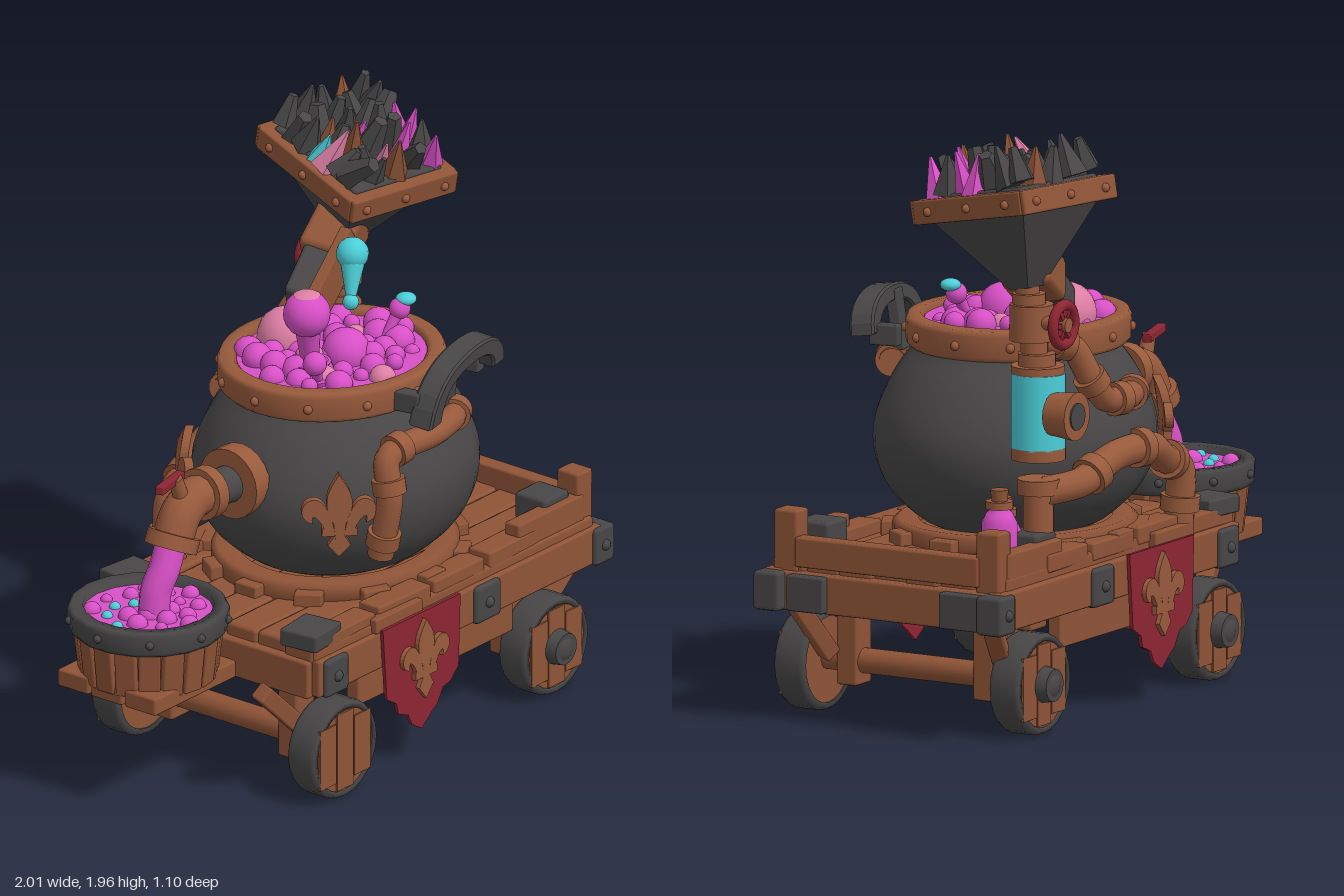
import * as THREE from 'three';
import { RoundedBoxGeometry } from 'three/addons/geometries/RoundedBoxGeometry.js';

const mat = (name, color) => {
  const m = new THREE.MeshStandardMaterial({ color });
  m.name = name;
  return m;
};
const V = (x, y, z) => new THREE.Vector3(x, y, z);

export function createModel() {
  const wood = mat('wood', 0x8f5437), copper = mat('copper', 0x985a3c), iron = mat('iron', 0x484646);
  const pink = mat('pink potion', 0xd850c6), blush = mat('blush bubble', 0xdf7fa6);
  const cyan = mat('cyan potion', 0x4cced8), red = mat('red cloth', 0x8c2532);
  const model = new THREE.Group();
  let seed = 7;
  const rnd = (a, b) => {
    seed = (seed * 16807) % 2147483647;
    return a + (b - a) * (seed / 2147483647);
  };

  // Helpers
  const add = (name, geo, m, p = [0, 0, 0], r = [0, 0, 0], parent = model) => {
    const mesh = new THREE.Mesh(geo, m);
    mesh.name = name;
    mesh.position.set(...p);
    mesh.rotation.set(...r);
    parent.add(mesh);
    return mesh;
  };
  const box = (name, m, s, p, r, parent) =>
    add(name, new RoundedBoxGeometry(...s, 1, Math.min(...s) * 0.14), m, p, r, parent);
  const cyl = (name, m, r1, r2, h, p, r, parent, n = 20) =>
    add(name, new THREE.CylinderGeometry(r1, r2, h, n), m, p, r, parent);
  const ball = (name, m, r, p, parent) => add(name, new THREE.SphereGeometry(r, 16, 12), m, p, undefined, parent);
  const lathe = (name, m, pts, p, parent, n = 40) =>
    add(name, new THREE.LatheGeometry(pts.map(a => new THREE.Vector2(...a)), n), m, p, undefined, parent);
  const beam = (name, m, a, b, w, h = w, round = false) => {
    const A = V(...a), B = V(...b), len = A.distanceTo(B);
    const mesh = round ? cyl(name, m, w, h, len, [0, 0, 0]) : box(name, m, [w, len, h], [0, 0, 0]);
    mesh.position.copy(A).add(B).multiplyScalar(0.5);
    mesh.quaternion.setFromUnitVectors(V(0, 1, 0), B.sub(A).normalize());
    return mesh;
  };
  // Bent pipe with collars at the given fractions of its length
  const pipe = (name, m, pts, r, collars = []) => {
    const curve = new THREE.CatmullRomCurve3(pts.map(p => V(...p)), false, 'catmullrom', 0.4);
    add(name, new THREE.TubeGeometry(curve, 40, r, 12), m);
    for (const t of collars) {
      const c = curve.getPointAt(t), d = curve.getTangentAt(t).multiplyScalar(0.025);
      beam(name + 'Collar', m, c.clone().sub(d).toArray(), c.clone().add(d).toArray(), r * 1.3, r * 1.3, true);
    }
  };
  // Three-petalled ornament, optionally bent around a curved surface
  const ornament = (p, ry, size, radius = 1e6) => {
    const g = new THREE.Group();
    g.name = 'petalOrnament';
    const petal = new THREE.Shape();
    petal.moveTo(0, 0.5);
    petal.bezierCurveTo(0.08, 0.36, 0.24, 0.26, 0.07, -0.06);
    petal.lineTo(0.05, -0.2);
    petal.lineTo(0.13, -0.34);
    petal.lineTo(0, -0.5);
    petal.lineTo(-0.13, -0.34);
    petal.lineTo(-0.05, -0.2);
    petal.lineTo(-0.07, -0.06);
    petal.bezierCurveTo(-0.24, 0.26, -0.08, 0.36, 0, 0.5);
    const shapes = [petal];
    for (const s of [-1, 1]) {
      const side = new THREE.Shape();
      side.moveTo(s * 0.06, -0.14);
      side.bezierCurveTo(s * 0.1, 0.1, s * 0.2, 0.3, s * 0.36, 0.2);
      side.bezierCurveTo(s * 0.48, 0.1, s * 0.42, -0.05, s * 0.3, -0.06);
      side.bezierCurveTo(s * 0.34, 0.08, s * 0.24, 0.06, s * 0.14, -0.2);
      shapes.push(side);
    }
    shapes.push(new THREE.Shape([[-0.2, -0.22], [0.2, -0.22], [0.2, -0.12], [-0.2, -0.12]].map(q => new THREE.Vector2(...q))));
    const geo = new THREE.ExtrudeGeometry(shapes, { depth: 0.1, bevelEnabled: false, curveSegments: 8 });
    geo.scale(size, size, size);
    const a = geo.attributes.position;
    for (let i = 0; i < a.count; i++) a.setZ(i, a.getZ(i) - (a.getX(i) ** 2 + 1.4 * a.getY(i) ** 2) / (2 * radius));
    add('petals', geo, copper, undefined, undefined, g);
    g.position.set(...p);
    g.rotation.y = ry;
    model.add(g);
  };

  // Cart bed: deck planks, side beams, skirts and end beams
  for (let i = 0; i < 7; i++) box('deckPlank', wood, [1.42 + rnd(-0.04, 0.03), 0.1, 0.125], [0.21, 0.49 + rnd(0, 0.015), -0.36 + i * 0.126]);
  for (const [z, s] of [[0.44, 1], [-0.41, -1]]) {
    box('sideBeam', wood, [1.46, 0.13, 0.07], [0.22, 0.445, z]);
    box('lowerSkirt', wood, [0.8, 0.12, 0.05], [0.14, 0.32, z - s * 0.03]);
    for (const [x, w] of [[-0.43, 0.12], [0.35, 0.13], [0.95, 0.1]]) {
      box('ironBracket', iron, [w, 0.13, 0.1], [x, 0.44, z]);
      ball('bracketRivet', iron, 0.02, [x, 0.44, z + s * 0.045]);
    }
    for (let i = 0; i < 4; i++) box('edgeBoard', wood, [0.26, 0.06, 0.09], [-0.32 + i * 0.28, 0.545 + rnd(-0.01, 0.015), z - s * 0.03], [0, rnd(-0.04, 0.04), 0]);
    box('rearPost', wood, [0.08, 0.33, 0.09], [0.9, 0.54, z - s * 0.04]);
    box('rearSideRail', wood, [0.34, 0.1, 0.06], [0.72, 0.58, z - s * 0.02]);
    box('rearIronCap', iron, [0.13, 0.1, 0.13], [s > 0 ? 0.78 : 0.61, 0.605, z - s * 0.08]);
    box('frontIronCap', iron, [0.16, 0.06, 0.14], [-0.45, 0.57, z - s * 0.05], [0, s * 0.12, 0]);
    box('frontBlock', wood, [0.13, 0.1, 0.12], [-0.45, 0.51, z - s * 0.05]);
    beam('rearStrut', wood, [0.9, 0.4, z - s * 0.05], [0.74, 0.2, z - s * 0.09], 0.06);
    beam('frontStrut', wood, [-0.62, 0.4, z - s * 0.12], [-0.42, 0.2, z - s * 0.09], 0.06);
  }
  for (const x of [-0.5, 0.92]) box('endBeam', wood, [0.07, 0.13, 0.86], [x, 0.44, 0.015]);
  box('rearRail', wood, [0.06, 0.1, 0.7], [0.92, 0.57, 0.01]);
  box('rearIronPlate', iron, [0.06, 0.12, 0.14], [0.955, 0.44, 0.3]);
  box('rearIronPlate', iron, [0.06, 0.12, 0.18], [0.955, 0.44, -0.3]);

  // Wheels, axles and axle posts
  for (const x of [-0.4, 0.69]) {
    beam('axle', wood, [x, 0.18, -0.36], [x, 0.18, 0.4], 0.042, 0.042, true);
    for (const [z, s] of [[0.44, 1], [-0.38, -1]]) {
      const g = new THREE.Group();
      g.name = 'wheel';
      g.position.set(x, 0.17, z);
      g.rotation.y = s > 0 ? 0 : Math.PI;
      model.add(g);
      cyl('wheelDisc', wood, 0.146, 0.146, 0.1, [0, 0, 0], [Math.PI / 2, 0, 0], g, 24);
      const tyre = lathe('wheelTyre', iron, [[0.143, -0.055], [0.16, -0.055], [0.168, -0.04], [0.168, 0.04], [0.16, 0.055], [0.143, 0.055], [0.143, -0.055]], [0, 0, 0], g, 24);
      tyre.rotation.x = Math.PI / 2;
      for (let i = -1; i < 2; i++) box('wheelBoard', wood, [0.084, i ? 0.21 : 0.27, 0.01], [i * 0.088, 0, 0.051], undefined, g);
      if (x > 0 || s < 0) {
        cyl('wheelHub', iron, 0.054, 0.062, 0.05, [0, 0, 0.07], [Math.PI / 2, 0, 0], g);
        ball('hubCap', iron, 0.05, [0, 0, 0.075], g).scale.z = 0.6;
      }
      box('axlePost', wood, [0.1, 0.3, 0.08], [x, 0.25, z - s * 0.15]);
    }
  }

  // Cauldron, oval in plan
  const pot = new THREE.Group();
  pot.name = 'cauldron';
  pot.position.set(0.16, 0, 0);
  pot.scale.z = 0.9;
  model.add(pot);
  const profile = new THREE.SplineCurve([[0.001, 0.56], [0.25, 0.57], [0.39, 0.65], [0.47, 0.75], [0.5, 0.87], [0.478, 0.98], [0.42, 1.09], [0.36, 1.17], [0.34, 1.23]].map(p => new THREE.Vector2(...p)));
  lathe('cauldronBody', iron, profile.getPoints(28).map(p => [Math.max(p.x, 0), p.y]), [0, 0, 0], pot);
  lathe('baseRing', wood, [[0.34, 0.53], [0.43, 0.53], [0.43, 0.59], [0.41, 0.605], [0.34, 0.6]], [0, 0, 0], pot);
  lathe('rim', copper, [[0.33, 1.17], [0.38, 1.17], [0.395, 1.185], [0.397, 1.255], [0.388, 1.272], [0.345, 1.275], [0.33, 1.26], [0.33, 1.17]], [-0.02, 0, 0], pot);
  cyl('potionSurface', pink, 0.335, 0.335, 0.03, [-0.02, 1.24, 0], undefined, pot, 32);
  for (let i = 0; i < 12; i++) {
    const a = i * Math.PI / 6;
    ball('rimRivet', copper, 0.016, [-0.02 + 0.396 * Math.cos(a), 1.22, 0.396 * Math.sin(a)], pot);
    box('baseBlock', wood, [0.1, 0.05, 0.06], [0.44 * Math.cos(a), 0.565, 0.44 * Math.sin(a)], [0, Math.PI / 2 - a, 0], pot);
  }

  // Potion bubbles and splashes
  for (let i = 0; i < 44; i++) {
    const a = i * 2.4, d = 0.3 * Math.sqrt((i + 0.5) / 44);
    ball('bubble', i % 9 == 4 ? blush : pink, rnd(0.024, 0.054), [0.14 + d * Math.cos(a), 1.25 + rnd(0, 0.025), d * 0.9 * Math.sin(a)]);
  }
  ball('largeBubble', blush, 0.1, [0.12, 1.28, -0.17]);
  ball('largeBubble', pink, 0.08, [0.14, 1.28, 0.06]);
  const splash = (name, m, top, foot, r) => {
    ball(name + 'Head', m, r, top);
    beam(name + 'Neck', m, foot, top, r * 0.62, r * 0.38, true);
    beam(name + 'Foot', m, foot, [foot[0], foot[1] - 0.05, foot[2]], r * 0.4, r * 0.9, true);
  };
  splash('tallSplash', pink, [-0.05, 1.475, 0.05], [-0.01, 1.29, 0.03], 0.078);
  add('tallSplashSheen', new THREE.SphereGeometry(0.08, 16, 6, 0, Math.PI * 2, 0, 0.6), blush, [-0.05, 1.475, 0.05]);
  splash('smallSplash', pink, [-0.12, 1.345, 0.14], [-0.08, 1.27, 0.12], 0.04);
  splash('sideSplash', pink, [0.38, 1.36, 0.09], [0.33, 1.27, 0.07], 0.036);
  ball('cyanSplash', cyan, 0.035, [0.4, 1.39, 0.1]).scale.y = 0.6;
  ball('flyingDrop', cyan, 0.054, [0.21, 1.595, 0.03]);
  beam('dropTail', cyan, [0.165, 1.47, 0.06], [0.205, 1.58, 0.035], 0.043, 0.018, true);
  ball('dropTip', cyan, 0.027, [0.158, 1.45, 0.065]);

  // Arched cauldron handle with its strap
  const arch = new THREE.Shape();
  arch.moveTo(-0.24, 0);
  arch.bezierCurveTo(-0.22, 0.16, -0.08, 0.185, 0.03, 0.185);
  arch.bezierCurveTo(0.14, 0.185, 0.24, 0.15, 0.24, 0.06);
  arch.lineTo(0.18, 0.06);
  arch.bezierCurveTo(0.18, 0.11, 0.12, 0.14, 0.03, 0.14);
  arch.bezierCurveTo(-0.08, 0.14, -0.17, 0.12, -0.18, 0);
  add('handle', new THREE.ExtrudeGeometry(arch, { depth: 0.07, bevelSize: 0.006, bevelThickness: 0.008, bevelSegments: 1, curveSegments: 8 }), iron, [0.28, 1.16, 0.365], [0.12, 0.19, 0]);
  box('handleStrap', iron, [0.065, 0.2, 0.04], [0.28, 1.23, 0.375], [0.15, 0.19, 0]);
  for (const [x, z] of [[0.07, 0.375], [0.46, 0.31]]) box('handleMount', iron, [0.05, 0.07, 0.1], [x, 1.215, z], [0, 0.19, 0]);

  // Ornaments and hanging banners
  for (const s of [1, -1]) ornament([-0.22, 0.89, s * 0.322], -Math.PI / 2 + s * Math.PI / 4, 0.29, 0.48);
  for (const [z, ry] of [[0.478, 0], [-0.448, Math.PI]]) {
    const cloth = new THREE.Shape([[-0.2, 0.52], [-0.18, 0.27], [-0.13, 0.24], [-0.12, 0.2], [-0.07, 0.18], [-0.05, 0.14], [0, 0.11], [0.05, 0.15], [0.08, 0.17], [0.11, 0.22], [0.15, 0.23], [0.19, 0.27], [0.2, 0.52]].map(p => new THREE.Vector2(...p)));
    add('banner', new THREE.ExtrudeGeometry(cloth, { depth: 0.012, bevelEnabled: false }), red, [0, 0, z], [0, ry, 0]);
    ornament([0.005, 0.36, z], ry, 0.28);
    box('bannerRod', wood, [0.24, 0.05, 0.04], [-0.1, 0.535, z * 0.96]);
  }

  // Spout, tap and pouring stream
  beam('spoutFlange', copper, [-0.3, 0.96, -0.02], [-0.37, 0.96, -0.02], 0.12, 0.12, true);
  beam('spoutSleeve', iron, [-0.36, 0.96, -0.02], [-0.5, 0.97, -0.02], 0.062, 0.062, true);
  pipe('spout', copper, [[-0.48, 0.97, -0.02], [-0.56, 0.97, -0.02], [-0.62, 0.93, -0.02], [-0.665, 0.84, -0.02]], 0.068, [0.06, 0.93]);
  pipe('potionStream', pink, [[-0.66, 0.86, -0.02], [-0.7, 0.77, -0.02], [-0.73, 0.7, -0.03], [-0.745, 0.59, -0.03]], 0.052);
  beam('tapStem', copper, [-0.6, 0.96, -0.02], [-0.64, 1.07, -0.02], 0.022, 0.03, true);
  box('tapHandle', red, [0.17, 0.028, 0.03], [-0.67, 1.065, -0.02], [0, 0.25, -0.04]);

  // Barrel on its shelf
  const tub = [-0.732, 0, -0.06];
  for (let i = 0; i < 3; i++) box('shelfPlank', wood, [0.46, 0.06, 0.13], [-0.72, 0.405, -0.2 + i * 0.14]);
  cyl('barrelCore', wood, 0.225, 0.205, 0.16, [tub[0], 0.5, tub[2]]);
  for (let i = 0; i < 18; i++) {
    const a = i * Math.PI / 9, c = Math.cos(a), s = Math.sin(a);
    beam('barrelStave', wood, [tub[0] + 0.2 * c, 0.41, tub[2] + 0.2 * s], [tub[0] + 0.222 * c, 0.6, tub[2] + 0.222 * s], 0.05, 0.072).rotation.set(0, -a, -0.115);
    if (i % 2) ball('bandRivet', iron, 0.014, [tub[0] + 0.262 * c, 0.61, tub[2] + 0.262 * s]);
  }
  lathe('barrelBand', iron, [[0.21, 0.57], [0.25, 0.565], [0.262, 0.58], [0.265, 0.635], [0.255, 0.65], [0.215, 0.648], [0.21, 0.57]], tub, undefined, 18);
  cyl('barrelPotion', pink, 0.215, 0.215, 0.02, [tub[0], 0.615, tub[2]]);
  for (let i = 0; i < 22; i++) {
    const a = i * 2.4, d = 0.19 * Math.sqrt((i + 0.5) / 22), m = i % 5 == 2 ? cyan : pink;
    ball('barrelBubble', m, m === cyan ? 0.019 : rnd(0.016, 0.036), [tub[0] + d * Math.cos(a), 0.625, tub[2] + d * Math.sin(a)]);
  }

  // Pipework around the cauldron
  pipe('frontPipe', copper, [[0.34, 1.1, 0.36], [0.25, 1.1, 0.41], [0.12, 1.1, 0.44], [-0.05, 1.1, 0.43], [-0.11, 1.07, 0.43], [-0.115, 0.95, 0.45], [-0.115, 0.74, 0.41]], 0.043, [0.06, 0.5, 0.68, 0.92]);
  pipe('backLowerPipe', copper, [[0.58, 0.78, -0.36], [0.45, 0.8, -0.43], [0.28, 0.86, -0.45], [0.08, 0.86, -0.46], [-0.04, 0.8, -0.44], [-0.17, 0.76, -0.41], [-0.2, 0.7, -0.41], [-0.2, 0.54, -0.4]], 0.05, [0.2, 0.45, 0.7, 0.92]);
  pipe('backUpperPipe', copper, [[0.54, 1.27, -0.33], [0.43, 1.24, -0.38], [0.37, 1.12, -0.42], [0.3, 1.05, -0.43], [0.18, 1.04, -0.44], [0.08, 1.04, -0.4]], 0.043, [0.15, 0.45, 0.72, 0.94]);

  // Feed column with cyan tank, gauge and valve wheel
  const column = [[0.05, 0.14, 0.72], [0.07, 0.05, 0.8], [0.09, 0.04, 0.91], [0.088, 0.03, 1.185], [0.062, 0.06, 1.21], [0.045, 0.2, 1.28], [0.072, 0.12, 1.34], [0.055, 0.05, 1.41], [0.04, 0.1, 1.45]];
  for (const [r, h, y] of column) cyl('feedColumn', copper, r, r, h, [0.58, y, -0.345 + Math.max(0, y - 1.17) * 0.15]);
  cyl('cyanTank', cyan, 0.09, 0.09, 0.25, [0.58, 1.05, -0.345]);
  beam('gauge', copper, [0.61, 1.05, -0.42], [0.61, 1.05, -0.51], 0.08, 0.07, true);
  beam('gaugeFace', iron, [0.61, 1.05, -0.505], [0.61, 1.05, -0.515], 0.045, 0.045, true);
  beam('valveStem', copper, [0.595, 1.345, -0.32], [0.595, 1.345, -0.47], 0.024, 0.024, true);
  add('valveWheel', new THREE.TorusGeometry(0.066, 0.018, 10, 24), red, [0.595, 1.345, -0.45]);
  for (let i = 0; i < 3; i++) box('valveSpoke', red, [0.13, 0.018, 0.018], [0.595, 1.345, -0.45], [0, 0, i * Math.PI / 3]);

  // Chute from hopper to cauldron, boarded on its front
  beam('chute', iron, [0.5, 1.5, -0.27], [0.26, 1.33, -0.22], 0.12, 0.13);
  box('chuteBoard', wood, [0.28, 0.13, 0.04], [0.355, 1.425, -0.165], [0, 0.15, 0.61]);
  beam('chuteCollar', wood, [0.56, 1.53, -0.28], [0.4, 1.43, -0.25], 0.15, 0.17);

  // Tilted hopper filled with coal and crystals
  const hopper = new THREE.Group();
  hopper.name = 'hopper';
  hopper.position.set(0.57, 1.735, -0.245);
  hopper.rotation.set(0.2, -0.23, 0, 'YXZ');
  model.add(hopper);
  const funnel = new THREE.CylinderGeometry(0.265, 0.05, 0.28, 4, 1).rotateY(Math.PI / 4).toNonIndexed();
  funnel.computeVertexNormals();
  add('funnel', funnel, iron, [0, -0.15, 0], undefined, hopper).scale.z = 1.22;
  for (const s of [1, -1]) {
    box('hopperRim', wood, [0.43, 0.08, 0.05], [0, 0, s * 0.24], undefined, hopper);
    box('hopperRim', wood, [0.05, 0.08, 0.5], [s * 0.195, 0, 0], undefined, hopper);
    for (const x of [-0.16, 0, 0.16]) ball('hopperRivet', copper, 0.015, [x, 0, s * 0.265], hopper);
    for (const z of [-0.18, 0, 0.18]) ball('hopperRivet', copper, 0.015, [s * 0.22, 0, z], hopper);
  }
  box('coalBed', iron, [0.36, 0.08, 0.44], [0, 0.01, 0], undefined, hopper);
  const gemColours = { 3: wood, 11: wood, 15: cyan, 17: pink, 19: pink, 20: blush, 21: wood, 24: pink, 27: blush, 28: pink, 32: wood, 34: pink };
  for (let i = 0; i < 35; i++) {
    const m = gemColours[i] || iron, coal = m === iron;
    const gem = new THREE.CylinderGeometry(coal ? rnd(0.006, 0.028) : 0.005, rnd(0.042, 0.058), rnd(0.1, 0.15) + (coal ? 0 : 0.025), 5).toNonIndexed();
    gem.computeVertexNormals();
    const x = -0.15 + (i % 5) * 0.075, z = -0.195 + Math.floor(i / 5) * 0.065, t = coal ? 0.45 : 0.15;
    add(coal ? 'coal' : 'crystal', gem, m, [x, 0.085 + rnd(-0.015, 0.04), z], [z * 1.6 + rnd(-t, t), rnd(0, 3), -x * 2 + rnd(-t, t)], hopper);
  }

  // Corked bottles on the rear deck
  for (const [x, z, h] of [[0.765, -0.31, 0.045], [0.645, -0.25, -0.005]]) {
    lathe('bottle', pink, [[0, 0.53], [0.05, 0.53], [0.06, 0.55], [0.06, 0.66], [0.045, 0.69], [0.026, 0.71], [0.026, 0.74], [0, 0.74]], [x, h, z], undefined, 16);
    cyl('bottleCollar', copper, 0.045, 0.045, 0.025, [x, h + 0.72, z]);
    cyl('cork', wood, 0.03, 0.026, 0.04, [x, h + 0.75, z]);
  }
  return model;
}
